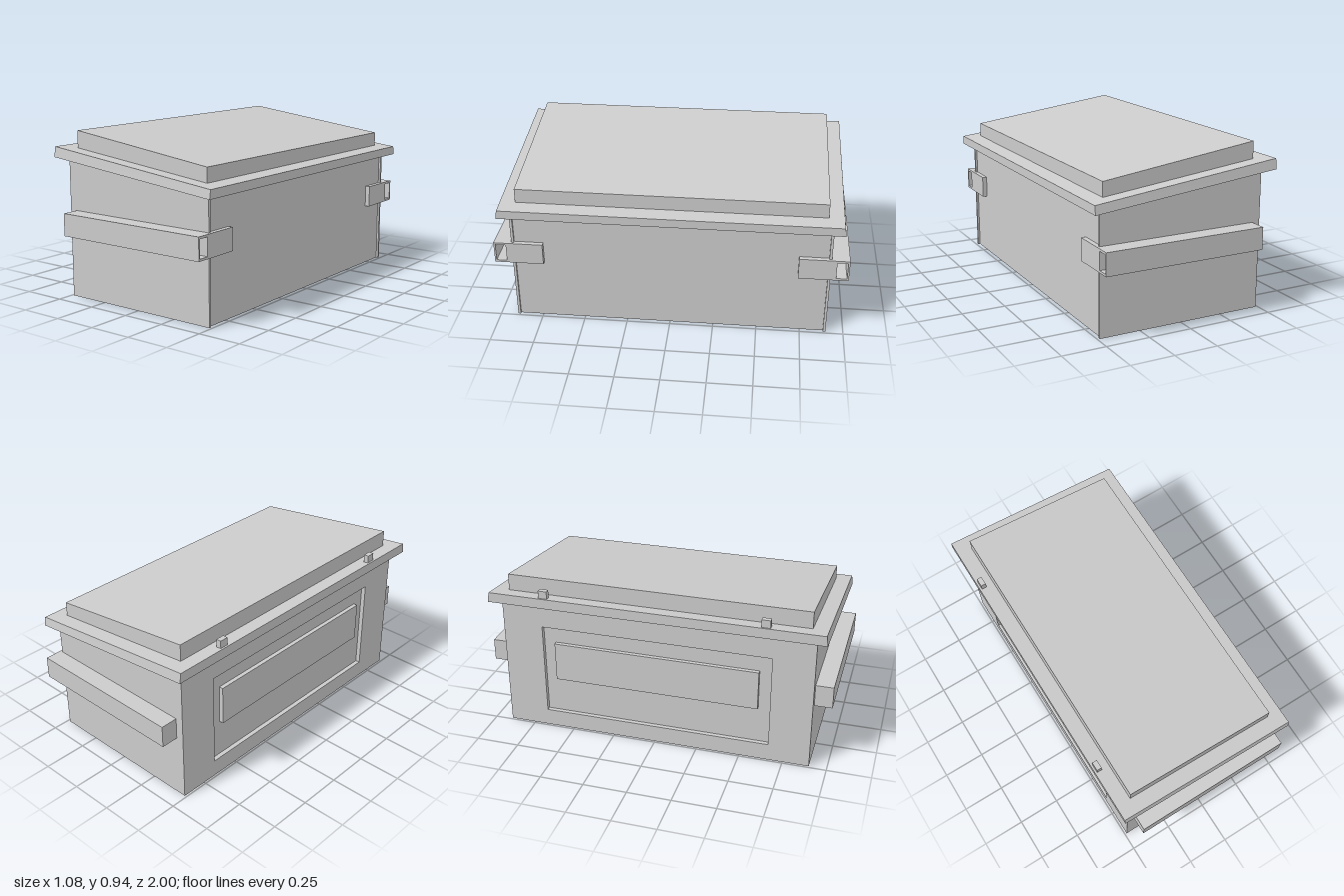
import * as THREE from 'three';

const material = new THREE.MeshStandardMaterial({ color: 0xcccccc, flatShading: true });

function add(parent, name, geometry) {
  const mesh = new THREE.Mesh(geometry, material);
  mesh.name = name;
  parent.add(mesh);
  return mesh;
}

// Box given by its lower and upper corners
function box(parent, name, [x0, y0, z0], [x1, y1, z1]) {
  const g = new THREE.BoxGeometry(x1 - x0, y1 - y0, z1 - z0);
  g.translate((x0 + x1) / 2, (y0 + y1) / 2, (z0 + z1) / 2);
  return add(parent, name, g);
}

// Side profile in x and y, extruded from z0 to z1
function slab(points, z0, z1) {
  const shape = new THREE.Shape(points.map(([x, y]) => new THREE.Vector2(x, y)));
  const g = new THREE.ExtrudeGeometry(shape, { depth: z1 - z0, bevelEnabled: false });
  return g.translate(0, 0, z0);
}

// Rectangle with a rectangular hole in z and y, extruded from x0 to x1
function frame(outer, hole, x0, x1) {
  const corners = ([z0, y0, z1, y1]) =>
    [[-z1, y0], [-z0, y0], [-z0, y1], [-z1, y1]].map(([u, v]) => new THREE.Vector2(u, v));
  const shape = new THREE.Shape(corners(outer));
  shape.holes.push(new THREE.Path(corners(hole).reverse()));
  const g = new THREE.ExtrudeGeometry(shape, { depth: x1 - x0, bevelEnabled: false });
  return g.rotateY(Math.PI / 2).translate(x0, 0, 0);
}

export function createModel() {
  const model = new THREE.Group();
  model.name = 'wasteContainer';

  // Body: core with slightly proud side walls
  const body = new THREE.Group();
  body.name = 'body';
  model.add(body);
  const top = (x) => 0.741 - 0.106 * x;
  const profile = (x0, x1) => [[x0, 0], [x1, 0], [x1, top(x1)], [x0, top(x0)]];
  add(body, 'core', slab(profile(-0.462, 0.475), -0.885, 0.885));
  add(body, 'sideWall', slab(profile(-0.488, 0.487), 0.885, 0.9));
  add(body, 'sideWall', slab(profile(-0.488, 0.487), -0.9, -0.885));

  // Recessed panel with a raised block on the tall long side
  add(body, 'panelFrame', frame([-0.885, 0, 0.885, 0.79], [-0.665, 0.1, 0.665, 0.65], -0.488, -0.462));
  box(body, 'panelBlock', [-0.486, 0.32, -0.595], [-0.46, 0.55, 0.595]);

  // Fork pockets, open at the low long side
  for (const s of [-1, 1]) {
    const pocket = new THREE.Group();
    pocket.name = 'forkPocket';
    model.add(pocket);
    const range = (a, b) => (s > 0 ? [a, b] : [-b, -a]);
    const [z0, z1] = range(0.9, 1);
    const [h0, h1] = range(0.93, 0.99);
    add(pocket, 'pocketTube', frame([z0, 0.37, z1, 0.497], [h0, 0.383, h1, 0.484], -0.42, 0.502));
    box(pocket, 'pocketEnd', [-0.442, 0.37, z0], [-0.42, 0.497, z1]);
    const [p0, p1] = range(0.72, 0.9);
    box(pocket, 'pocketStrap', [0.47, 0.37, p0], [0.502, 0.497, p1]);
  }

  // Sloping lid: rim narrowing slightly upwards, then a raised cover
  const lid = new THREE.Group();
  lid.name = 'lid';
  model.add(lid);
  const rim = slab([[-0.543, 0.795], [0.54, 0.68], [0.54, 0.73], [-0.543, 0.853]], -0.96, 0.96);
  const p = rim.attributes.position;
  for (let i = 0; i < p.count; i++) {
    const isTop = p.getY(i) > 0.766 - 0.11 * p.getX(i);
    if (isTop) p.setZ(i, Math.sign(p.getZ(i)) * 0.952);
  }
  rim.computeVertexNormals();
  add(lid, 'lidRim', rim);
  add(lid, 'lidCover', slab([[-0.455, 0.82], [0.452, 0.72], [0.452, 0.822], [-0.455, 0.94]], -0.866, 0.866));

  // Hinge pins on the high edge
  for (const z of [-0.63, 0.63]) box(lid, 'hingePin', [-0.531, 0.83, z - 0.025], [-0.502, 0.896, z + 0.025]);

  return model;
}
